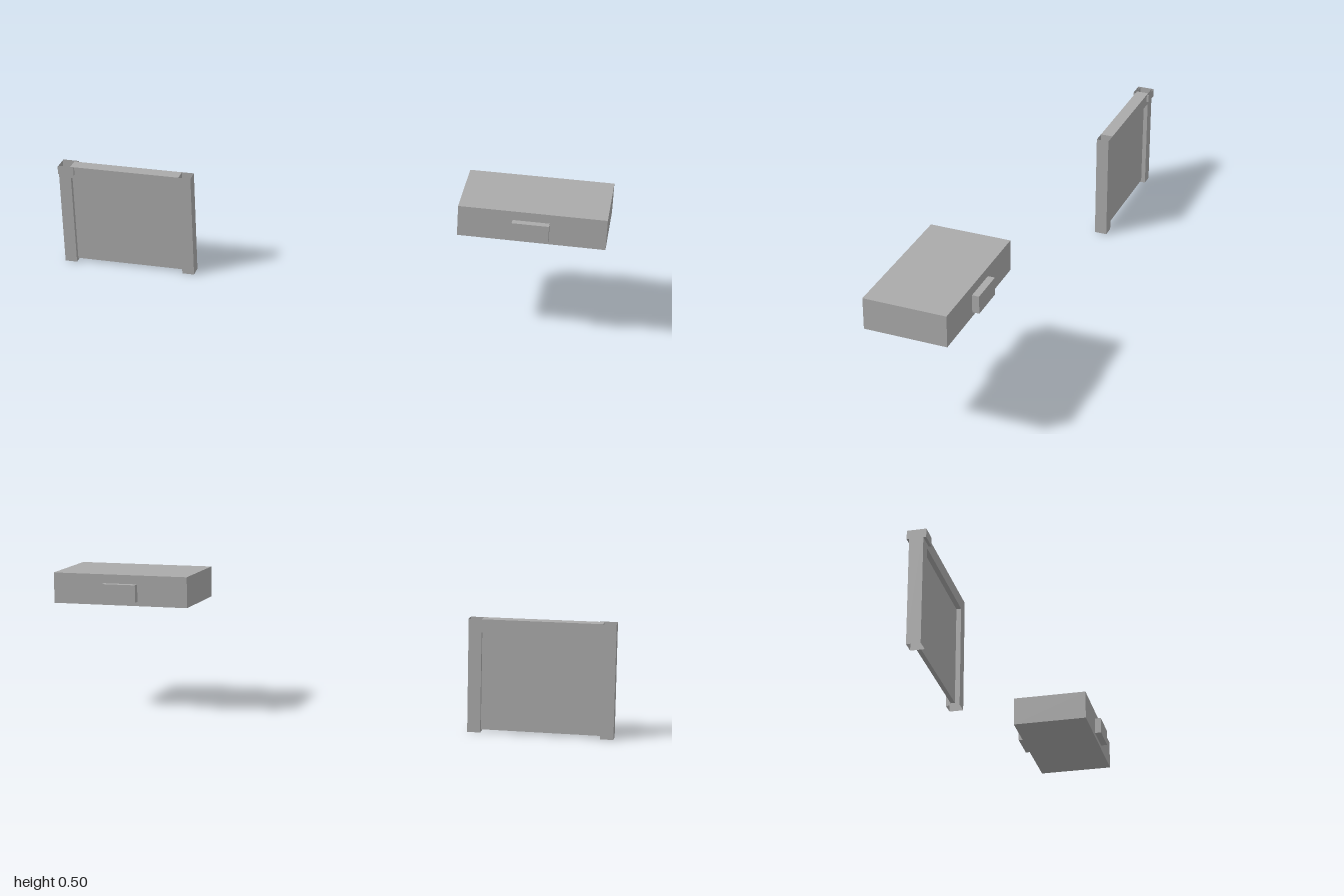
import * as THREE from 'three';

const grey = new THREE.MeshStandardMaterial({ color: 0xaaaaaa, side: THREE.DoubleSide });
grey.name = 'plain grey';

// Box given by its limits; faces listed in "open" are left out
// (2 = top, 3 = bottom in the box's face order).
function block(name, [x0, x1], [y0, y1], [z0, z1], open = []) {
  const geo = new THREE.BoxGeometry(x1 - x0, y1 - y0, z1 - z0);
  if (open.length) {
    const index = Array.from(geo.index.array);
    geo.setIndex(index.filter((_, i) => !open.includes(Math.floor(i / 6))));
    geo.clearGroups();
  }
  geo.translate((x0 + x1) / 2, (y0 + y1) / 2, (z0 + z1) / 2);
  const mesh = new THREE.Mesh(geo, grey);
  mesh.name = name;
  return mesh;
}

export function createModel() {
  const model = new THREE.Group();
  model.name = 'drawerAndPanel';

  // Drawer block with a pull on the front and the back
  const drawer = new THREE.Group();
  drawer.name = 'drawer';
  drawer.add(block('drawerBody', [0.5, 1], [0.395, 0.505], [-0.141, 0.141]));
  drawer.add(block('frontPull', [0.685, 0.81], [0.411, 0.473], [0.141, 0.165]));
  drawer.add(block('backPull', [0.685, 0.81], [0.411, 0.473], [-0.165, -0.141]));
  model.add(drawer);

  // Framed side panel: hollow posts, top rail and a thin recessed sheet
  const side = new THREE.Group();
  side.name = 'sidePanel';
  const depth = [-0.118, -0.072];
  const posts = { rightPost: [-1, -0.955], leftPost: [-0.545, -0.5] };
  for (const [name, x] of Object.entries(posts)) {
    side.add(block(name, x, [0, 0.395], depth, [2, 3]));
  }
  side.add(block('topRail', [-0.955, -0.545], [0.35, 0.395], depth));
  side.add(block('recessedSheet', [-0.955, -0.545], [0.008, 0.35], [-0.102, -0.088]));

  // Open collar around the head of one post
  side.add(block('postCollar', [-1, -0.94], [0.365, 0.395], [-0.126, -0.063], [2]));
  model.add(side);

  return model;
}
